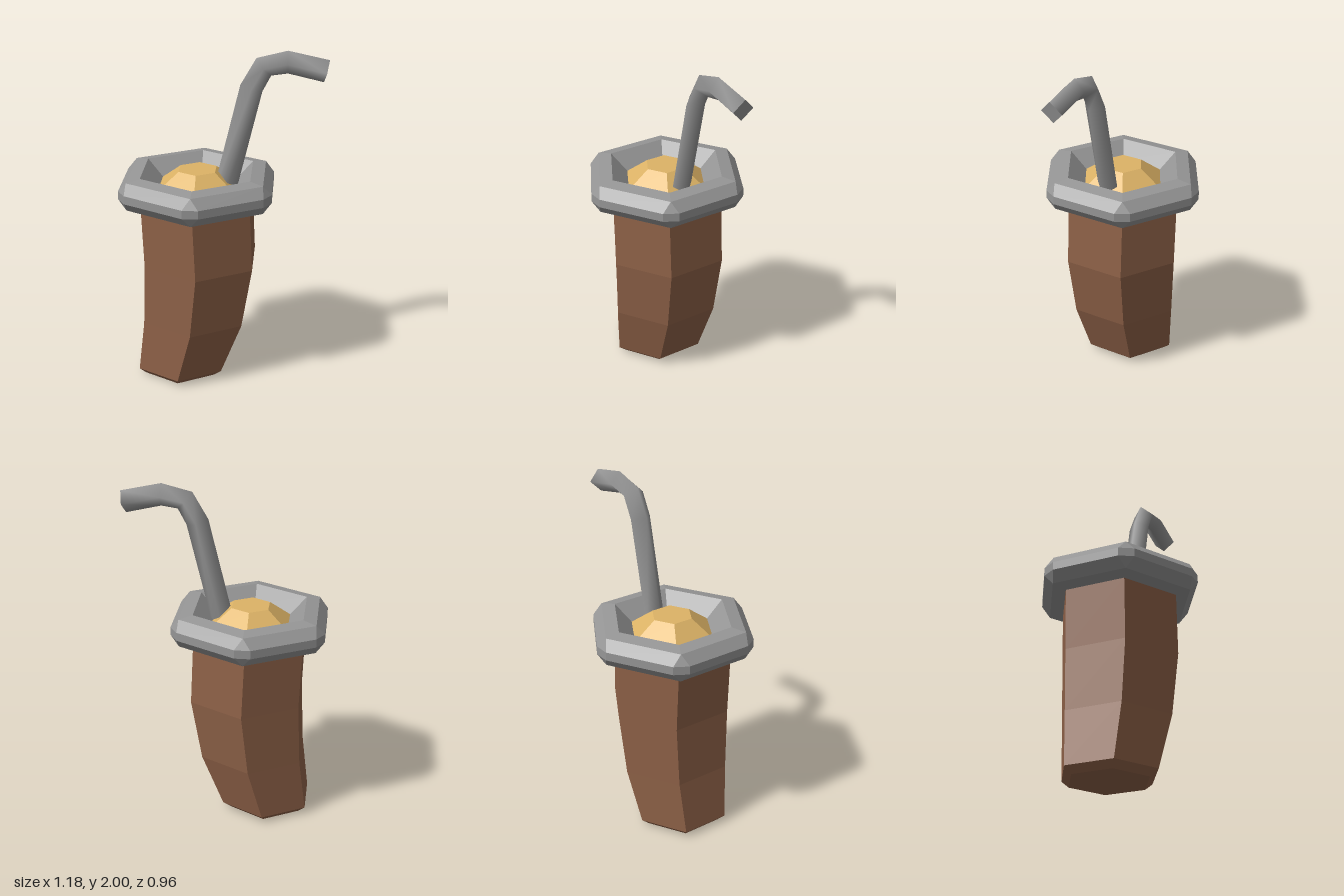
import * as THREE from 'three';
import { mergeVertices } from 'three/addons/utils/BufferGeometryUtils.js';

const mat = (name, color) => {
  const m = new THREE.MeshStandardMaterial({ color });
  m.name = name;
  return m;
};

// Hexagonal ring with corners towards +z and -z; bevel splits each corner in two
function hexRing(cx, y, r, bevel = 0) {
  const pts = [];
  for (let k = 0; k < 6; k++) {
    const a = (k * Math.PI) / 3;
    for (const b of [-bevel, bevel]) {
      pts.push(new THREE.Vector3(
        cx + r * Math.sin(a) + b * Math.cos(a), y, r * Math.cos(a) - b * Math.sin(a)));
    }
  }
  return pts;
}

// Skin a list of equal-length rings, skipping collapsed triangles
function loft(rings, smooth = false) {
  const pos = [];
  const tri = (a, b, c) => {
    const area = b.clone().sub(a).cross(c.clone().sub(a)).length();
    if (area > 1e-7) for (const p of [a, b, c]) pos.push(p.x, p.y, p.z);
  };
  for (let i = 0; i < rings.length - 1; i++) {
    const lo = rings[i], hi = rings[i + 1], n = lo.length;
    for (let j = 0; j < n; j++) {
      const k = (j + 1) % n;
      tri(lo[j], lo[k], hi[k]);
      tri(lo[j], hi[k], hi[j]);
    }
  }
  let g = new THREE.BufferGeometry();
  g.setAttribute('position', new THREE.Float32BufferAttribute(pos, 3));
  if (smooth) g = mergeVertices(g, 1e-4);
  g.computeVertexNormals();
  return g;
}

export function createModel() {
  const group = new THREE.Group();
  group.name = 'drinkingGourd';
  const brown = mat('gourdBrown', 0x8f6248);
  const grey = mat('metalGrey', 0x969696);
  const gold = mat('fillingGold', 0xddb366);
  const add = (name, geometry, material) => {
    const mesh = new THREE.Mesh(geometry, material);
    mesh.name = name;
    group.add(mesh);
  };
  const cx = -0.155;

  // Curved, faceted cup: [centre x, y, corner radius]
  const cup = [
    [-0.265, 0, 0], [-0.265, 0, 0.24], [-0.26, 0.04, 0.288],
    [-0.178, 0.365, 0.337], [-0.14, 0.735, 0.364], [cx, 1.1, 0.363],
  ];
  add('cup', loft(cup.map((s) => hexRing(...s))), brown);

  // Thick rim with bevelled corners and a sloping inner wall: [y, radius, bevel]
  const rim = [
    [1.095, 0.34, 0], [1.095, 0.365, 0], [1.11, 0.45, 0], [1.168, 0.481, 0.045],
    [1.217, 0.481, 0.045], [1.275, 0.45, 0], [1.288, 0.363, 0], [1.195, 0.255, 0],
  ];
  add('rim', loft(rim.map(([y, r, b]) => hexRing(cx, y, r, b))), grey);

  // Low mound of filling
  const mound = [[1.195, 0.255], [1.293, 0.122], [1.293, 0]];
  add('filling', loft(mound.map(([y, r]) => hexRing(cx, y, r))), gold);

  // Bent four-sided straw: [x, y, tilt of the path in degrees]
  const path = [
    [-0.008, 1.12, 76], [0.153, 1.783, 74], [0.222, 1.907, 40],
    [0.357, 1.936, 1], [0.575, 1.888, -13],
  ];
  const strawRing = ([x, y, deg], r = 0.065) => {
    const t = THREE.MathUtils.degToRad(deg);
    return [0, 1, 2, 3].map((k) => {
      const c = r * Math.cos((k * Math.PI) / 2), s = r * Math.sin((k * Math.PI) / 2);
      return new THREE.Vector3(x + s * Math.sin(t), y - s * Math.cos(t), c);
    });
  };
  add('straw', loft(path.map((p) => strawRing(p)), true), grey);
  const end = path[path.length - 1];
  add('strawTip', loft([strawRing(end), strawRing(end, 0)]), grey);
  add('strawFoot', loft([strawRing(path[0], 0), strawRing(path[0])]), grey);

  return group;
}
